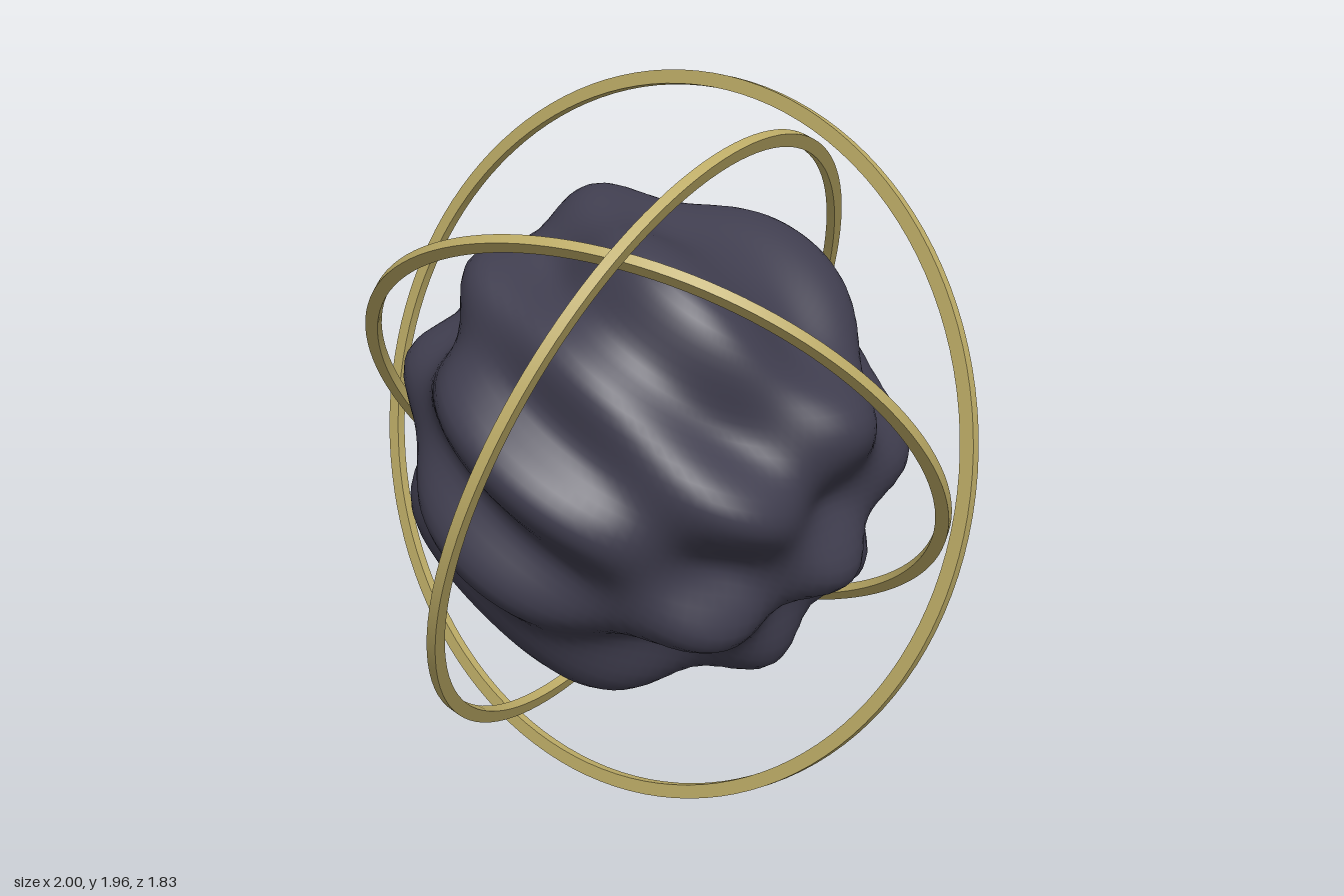
import * as THREE from 'three';
import { mergeVertices, toCreasedNormals } from 'three/addons/utils/BufferGeometryUtils.js';

const CENTRE_Y = 0.98;

// Sphere with long ridges along its own x, crossed by slower waves along z
function rippledBody() {
  let geo = new THREE.SphereGeometry(1, 112, 80);
  geo.deleteAttribute('uv');
  geo.deleteAttribute('normal');
  geo = mergeVertices(geo, 1e-5);
  const pos = geo.attributes.position;
  const p = new THREE.Vector3();
  for (let i = 0; i < pos.count; i++) {
    p.fromBufferAttribute(pos, i).normalize();
    const wave = Math.sin(11.7 * p.y - 0.1) * Math.cos(6 * p.z);
    p.multiplyScalar(0.646 + 0.064 * wave);
    pos.setXYZ(i, p.x, p.y, p.z);
  }
  geo.rotateZ(-Math.PI / 6);
  geo.computeVertexNormals();
  return geo;
}

// Thin hoop with a rectangular section, its axis along y
function hoop(outer) {
  const inner = outer - 0.037, h = 0.014;
  const profile = [[inner, -h], [outer, -h], [outer, h], [inner, h], [inner, -h]]
    .map(([r, y]) => new THREE.Vector2(r, y));
  return toCreasedNormals(new THREE.LatheGeometry(profile, 120), 0.6);
}

export function createModel() {
  const model = new THREE.Group();
  const darkStone = new THREE.MeshStandardMaterial({ color: 0x3f3d4e });
  darkStone.name = 'darkStone';
  const brass = new THREE.MeshStandardMaterial({ color: 0xbcab66 });
  brass.name = 'brass';

  const body = new THREE.Mesh(rippledBody(), darkStone);
  body.name = 'rippledBody';
  body.position.y = CENTRE_Y;
  model.add(body);

  // Each hoop: name, outer radius, axis direction
  const hoops = [
    ['outerHoop', 1.0, [0, 0.217, 0.976]],
    ['middleHoop', 0.922, [0.925, -0.36, -0.12]],
    ['innerHoop', 0.854, [0.14, -0.64, 0.755]],
  ];
  const up = new THREE.Vector3(0, 1, 0);
  for (const [name, radius, axis] of hoops) {
    const ring = new THREE.Mesh(hoop(radius), brass);
    ring.name = name;
    ring.position.y = CENTRE_Y;
    ring.quaternion.setFromUnitVectors(up, new THREE.Vector3(...axis).normalize());
    model.add(ring);
  }
  return model;
}
